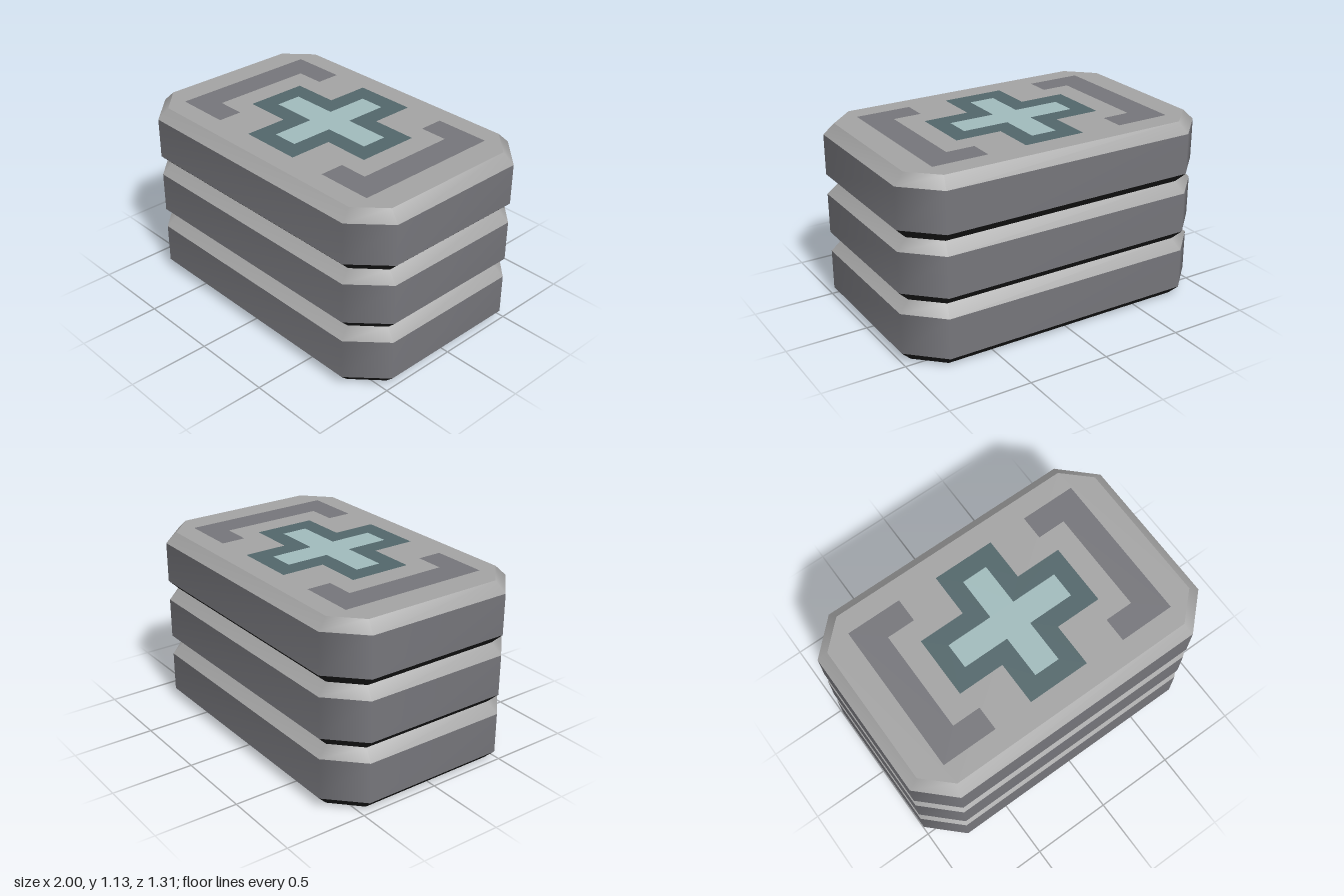
import * as THREE from 'three';

const SLABS = 3, PITCH = 0.375, BEVEL = 0.063;

const paint = (color, side = THREE.FrontSide) => new THREE.MeshStandardMaterial({ color, side });

// Octagon outline (x, z), counter-clockwise from above
const OUTER = [[1, 0.46], [1, -0.46], [0.8, -0.655], [-0.8, -0.655],
  [-1, -0.46], [-1, 0.46], [-0.8, 0.655], [0.8, 0.655]];
const INNER = OUTER.map(([x, z]) => Math.abs(x) === 1
  ? [Math.sign(x) * 0.937, Math.sign(z) * 0.44]
  : [Math.sign(x) * 0.778, Math.sign(z) * 0.592]);

// Closed band between two rings, smooth around the corners
function band(lower, y0, upper, y1) {
  const pos = [], idx = [], n = lower.length;
  lower.forEach(([x, z]) => pos.push(x, y0, z));
  upper.forEach(([x, z]) => pos.push(x, y1, z));
  for (let i = 0; i < n; i++) {
    const j = (i + 1) % n;
    idx.push(i, j, n + j, i, n + j, n + i);
  }
  const g = new THREE.BufferGeometry();
  g.setAttribute('position', new THREE.Float32BufferAttribute(pos, 3));
  g.setIndex(idx);
  g.computeVertexNormals();
  return g;
}

const toShape = pts => new THREE.Shape(pts.map(([x, y]) => new THREE.Vector2(x, y)));

// Flat panel lying at height y, facing up (or down)
function panel(shape, y, up = true) {
  return new THREE.ShapeGeometry(shape).rotateX(up ? -Math.PI / 2 : Math.PI / 2).translate(0, y, 0);
}

// Plus outline: half lengths lx, ly and half arm widths wx (upright), wy (crossbar)
const plus = (lx, ly, wx, wy) => [[lx, -wy], [lx, wy], [wx, wy], [wx, ly], [-wx, ly], [-wx, wy],
  [-lx, wy], [-lx, -wy], [-wx, -wy], [-wx, -ly], [wx, -ly], [wx, -wy]];

export function createModel() {
  const model = new THREE.Group();
  const topGrey = paint(0xa3a3a3), sideGrey = paint(0x75757a), bottomBlack = paint(0x1c1c1c);
  const add = (parent, name, geometry, material) => {
    const mesh = new THREE.Mesh(geometry, material);
    mesh.name = name;
    parent.add(mesh);
  };

  // Stacked bevelled slabs
  const cap = toShape(INNER.map(([x, z]) => [x, -z]));
  for (let i = 0; i < SLABS; i++) {
    const slab = new THREE.Group();
    slab.name = 'slab' + (i + 1);
    slab.position.y = i * PITCH;
    add(slab, 'bottomFace', panel(cap, 0, false), bottomBlack);
    add(slab, 'bottomBevel', band(INNER, 0, OUTER, BEVEL), bottomBlack);
    add(slab, 'sideWall', band(OUTER, BEVEL, OUTER, PITCH - BEVEL), sideGrey);
    add(slab, 'topBevel', band(OUTER, PITCH - BEVEL, INNER, PITCH), topGrey);
    add(slab, 'topFace', panel(cap, PITCH), topGrey);
    model.add(slab);
  }

  // Inlaid cross with a dark border
  const y = SLABS * PITCH + 0.002;
  const border = toShape(plus(0.478, 0.457, 0.192, 0.19));
  const inner = plus(0.367, 0.346, 0.08, 0.08);
  border.holes.push(new THREE.Path(inner.map(([x, z]) => new THREE.Vector2(x, z))));
  add(model, 'crossBorder', panel(border, y), paint(0x52666a, THREE.DoubleSide));
  add(model, 'cross', panel(toShape(inner), y), paint(0xa0babb, THREE.DoubleSide));

  // Brackets either side of the cross
  const bracketGrey = paint(0x75757a, THREE.DoubleSide);
  for (const [s, name] of [[1, 'leftBracket'], [-1, 'rightBracket']]) {
    const outline = [[0.78, -0.467], [0.78, 0.467], [0.438, 0.467], [0.438, 0.317],
      [0.613, 0.317], [0.613, -0.317], [0.438, -0.317], [0.438, -0.467]];
    add(model, name, panel(toShape(outline.map(([x, z]) => [s * x, z])), y), bracketGrey);
  }
  return model;
}
